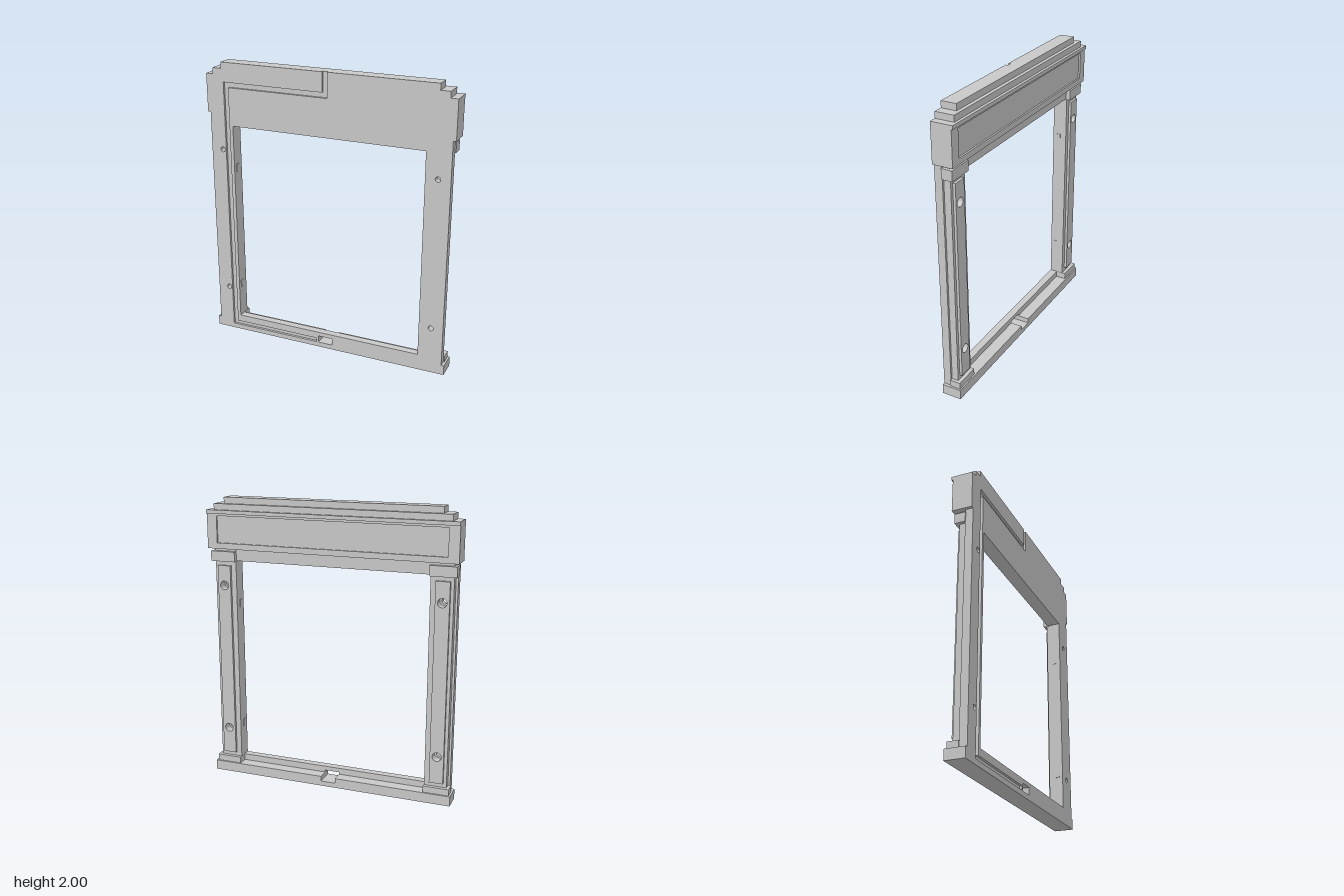
import * as THREE from 'three';

const HOLES_Y = [0.335, 1.39];
const HOLE_X = 0.775;

export function createModel() {
  const group = new THREE.Group();
  const lightGrey = new THREE.MeshStandardMaterial({ color: 0xc8c8c8 });
  lightGrey.name = 'lightGrey';

  const add = (name, geometry) => {
    const mesh = new THREE.Mesh(geometry, lightGrey);
    mesh.name = name;
    group.add(mesh);
  };
  const path = (points) => points.map(([x, y]) => new THREE.Vector2(x, y));
  const rect = (x0, x1, y0, y1) => path([[x0, y0], [x1, y0], [x1, y1], [x0, y1]]);
  const circle = (x, y, r) => new THREE.Path().absarc(x, y, r, 0, Math.PI * 2, true);

  // Flat outline with holes, extruded from z0 to z1
  const plate = (name, points, holes, z0, z1) => {
    const shape = new THREE.Shape(points);
    shape.holes = holes.map((h) => (Array.isArray(h) ? new THREE.Path(h) : h));
    const geometry = new THREE.ExtrudeGeometry(shape, { depth: z1 - z0, bevelEnabled: false, curveSegments: 16 });
    add(name, geometry.translate(0, 0, z0));
  };
  const box = (name, x0, x1, y0, y1, z0, z1) => {
    const geometry = new THREE.BoxGeometry(x1 - x0, y1 - y0, z1 - z0);
    add(name, geometry.translate((x0 + x1) / 2, (y0 + y1) / 2, (z0 + z1) / 2));
  };

  // Stepped silhouette of the front frame, right half from bottom to top
  const half = [
    [0.88, 0], [0.88, 0.07], [0.86, 0.07], [0.86, 1.65], [0.88, 1.65], [0.88, 1.915],
    [0.83, 1.915], [0.83, 1.957], [0.765, 1.957], [0.765, 2],
  ];
  const mirrored = half.map(([x, y]) => [-x, y]).reverse();

  // Cable channel that enters from the top edge and ends by the slot
  const channel = [
    [0.015, 2], [0.015, 1.83], [-0.715, 1.83], [-0.715, 0.065], [-0.07, 0.065],
    [-0.07, 0.035], [-0.75, 0.035], [-0.75, 1.865], [-0.02, 1.865], [-0.02, 2],
  ];
  const frameHoles = () => [
    rect(-0.69, 0.69, 0.115, 1.565),
    rect(-0.055, 0.05, 0.035, 0.085),
    ...[-1, 1].flatMap((s) => HOLES_Y.map((y) => circle(s * HOLE_X, y, 0.018))),
  ];
  plate('frontFrameFace', path([...half, ...channel, ...mirrored]), frameHoles(), 0.058, 0.075);
  plate('frontFrameBacking', path([...half, ...mirrored]), frameHoles(), 0.022, 0.058);

  // Base sill with a notch behind the slot
  plate('baseSill', path([
    [-0.88, 0], [0.88, 0], [0.88, 0.07], [0.05, 0.07], [0.05, 0.035],
    [-0.055, 0.035], [-0.055, 0.07], [-0.88, 0.07],
  ]), [], -0.06, 0.022);

  // Header with a recessed back panel, lintel, cornice and stepped top
  box('lintel', -0.69, 0.69, 1.565, 1.65, -0.02, 0.022);
  box('headerBody', -0.88, 0.88, 1.65, 1.915, -0.053, 0.022);
  plate('headerPanelFrame', rect(-0.88, 0.88, 1.65, 1.915), [rect(-0.808, 0.808, 1.69, 1.875)], -0.065, -0.053);
  box('cornice', -0.88, 0.88, 1.89, 1.915, -0.075, -0.065);
  box('lowerTopStep', -0.83, 0.83, 1.915, 1.957, -0.055, 0.022);
  box('upperTopStep', -0.765, 0.765, 1.957, 2, -0.03, 0.022);

  // Pilasters on both sides, with counterbored screw holes
  for (const s of [-1, 1]) {
    const side = s > 0 ? 'left' : 'right';
    const span = (a, b) => (s > 0 ? [a, b] : [-b, -a]);
    const bores = () => HOLES_Y.map((y) => circle(s * HOLE_X, y, 0.031));
    plate(side + 'Pilaster', rect(...span(0.69, 0.845), 0.07, 1.65), bores(), -0.024, 0.022);
    plate(side + 'PilasterPanel', rect(...span(0.727, 0.823), 0.145, 1.53), bores(), -0.042, -0.024);
    box(side + 'Plinth', ...span(0.688, 0.867), 0.07, 0.115, -0.05, 0.025);
    box(side + 'Capital', ...span(0.688, 0.867), 1.56, 1.63, -0.05, 0.025);

    // Small catches on the inner jamb
    for (const y of [0.335, 1.23]) {
      box(side + 'JambCatch', ...span(0.686, 0.7), y, y + 0.055, 0.02, 0.05);
    }
  }

  return group;
}
